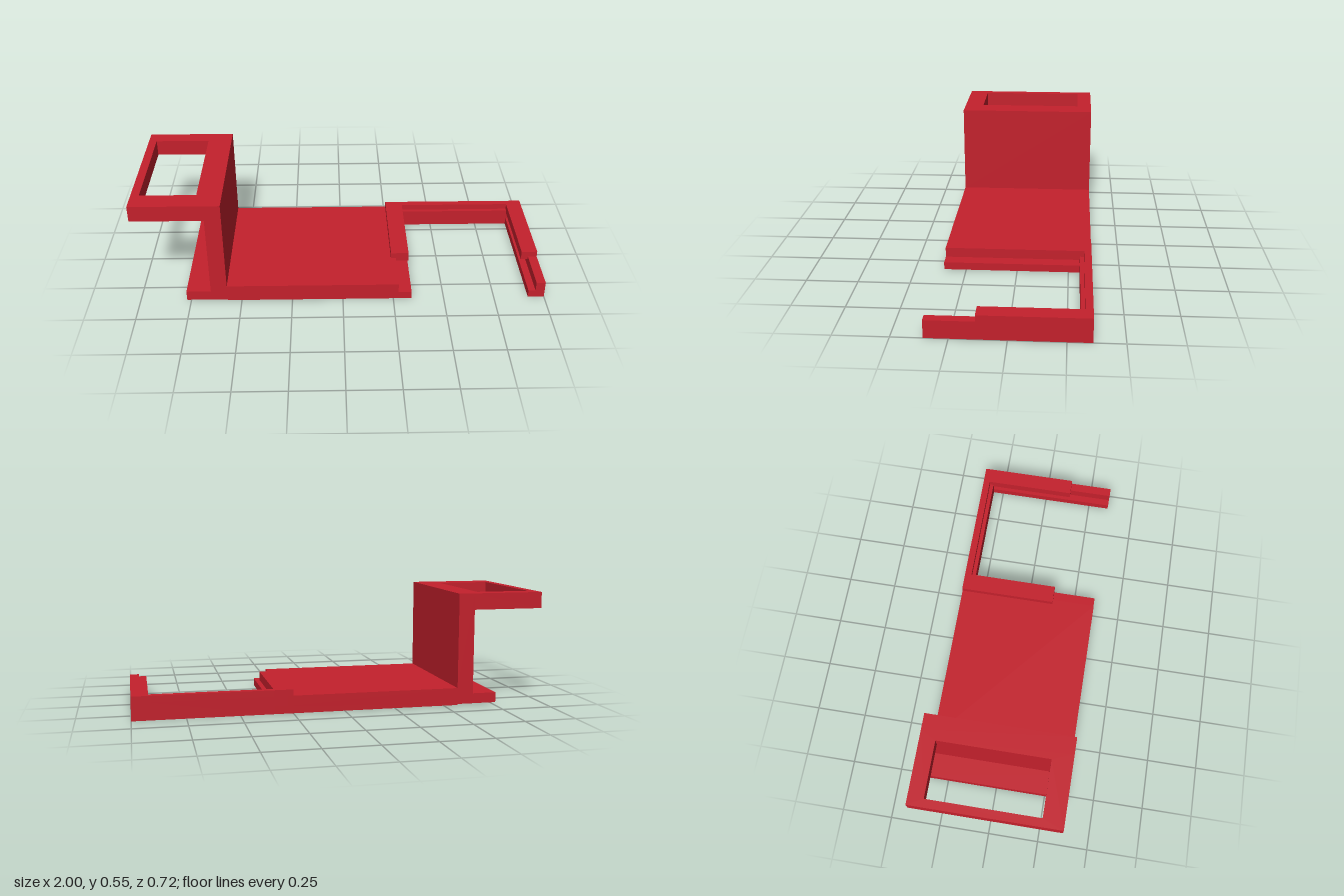
import * as THREE from 'three';

const red = new THREE.MeshStandardMaterial({ color: 0xc4202c });
red.name = 'red';

// Closed outline from [x, y] points
function outline(points) {
  return new THREE.Shape(points.map(([x, y]) => new THREE.Vector2(x, y)));
}

// Front profile swept along z from z0 to z1
function sweep(name, points, z0, z1) {
  const g = new THREE.ExtrudeGeometry(outline(points), { depth: z1 - z0, bevelEnabled: false });
  g.translate(0, 0, z0);
  const mesh = new THREE.Mesh(g, red);
  mesh.name = name;
  return mesh;
}

export function createModel() {
  const model = new THREE.Group();
  model.name = 'bracket';
  const back = -0.36, front = 0.358, coverEnd = 0.135, barFront = -0.305;

  // Foot, upright wall, base plate and inner slot lip in one profile
  model.add(sweep('body', [
    [-0.77, 0.005], [-0.57, 0.005], [-0.57, 0], [0.34, 0], [0.34, 0.037], [0.275, 0.037],
    [0.275, 0.085], [-0.57, 0.085], [-0.57, 0.55], [-0.65, 0.55], [-0.65, 0.055], [-0.77, 0.055],
  ], back, front));

  // Raised rectangular frame with a window
  const frame = outline([[-1, -front], [-0.65, -front], [-0.65, -back], [-1, -back]]);
  frame.holes.push(outline([[-0.96, -0.257], [-0.96, 0.284], [-0.69, 0.284], [-0.69, -0.257]]));
  const frameGeo = new THREE.ExtrudeGeometry(frame, { depth: 0.08, bevelEnabled: false });
  frameGeo.rotateX(-Math.PI / 2).translate(0, 0.47, 0);
  const topFrame = new THREE.Mesh(frameGeo, red);
  topFrame.name = 'topFrame';
  model.add(topFrame);

  // Cover strip over the inner slot
  model.add(sweep('innerCover', [
    [0.275, 0.07], [0.34, 0.07], [0.34, 0.115], [0.25, 0.115], [0.25, 0.085], [0.275, 0.085],
  ], back, coverEnd));

  // Outer arm with its slot lip, and its cover strip
  model.add(sweep('outerArm', [
    [0.92, 0], [1, 0], [1, 0.085], [0.955, 0.085], [0.955, 0.037], [0.92, 0.037],
  ], back, front));
  model.add(sweep('outerCover', [
    [0.92, 0.07], [0.955, 0.07], [0.955, 0.085], [1, 0.085], [1, 0.115], [0.92, 0.115],
  ], back, coverEnd));

  // Stepped bar joining the arms at the back
  model.add(sweep('backBar', [[0.34, 0], [0.92, 0], [0.92, 0.085], [0.34, 0.085]], back, barFront));
  model.add(sweep('backBarRidge', [[0.34, 0.085], [0.92, 0.085], [0.92, 0.115], [0.34, 0.115]], back, -0.325));

  // Closed slot ends at the back corners
  model.add(sweep('innerSlotEnd', [[0.275, 0.037], [0.34, 0.037], [0.34, 0.07], [0.275, 0.07]], back, barFront));
  model.add(sweep('outerSlotEnd', [[0.92, 0.037], [0.955, 0.037], [0.955, 0.07], [0.92, 0.07]], back, barFront));

  return model;
}
